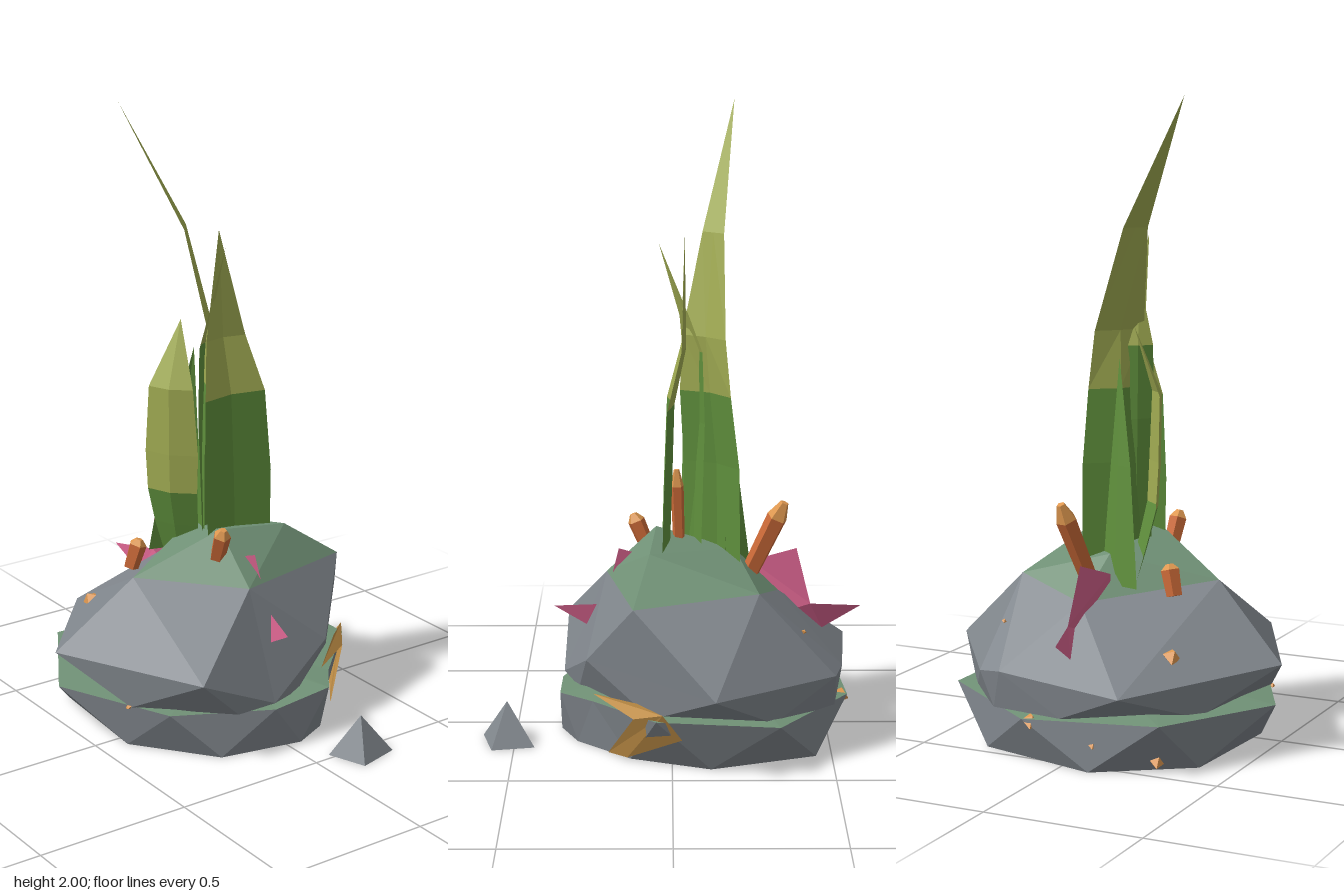
import * as THREE from 'three';

const mat = (name, color, side = THREE.FrontSide) => {
  const m = new THREE.MeshStandardMaterial({ color, side });
  m.name = name;
  return m;
};

export function createModel() {
  const group = new THREE.Group();
  const rock = mat('grey rock', 0x80868c);
  const moss = mat('moss green', 0x709176);
  const leaf = mat('leaf green', 0x5f8f3c, THREE.DoubleSide);
  const olive = mat('olive leaf', 0xa0ab52, THREE.DoubleSide);
  const pink = mat('pink', 0xd2608a, THREE.DoubleSide);
  const orange = mat('orange crystal', 0xcb6a38);
  const tipOrange = mat('pale orange tip', 0xdf9850);
  const ochre = mat('ochre', 0xbd8c45, THREE.DoubleSide);

  // Faceted mesh from a list of corner triples
  const facets = (name, material, tris) => {
    const g = new THREE.BufferGeometry();
    g.setAttribute('position', new THREE.Float32BufferAttribute(tris.flat(2), 3));
    g.computeVertexNormals();
    const mesh = new THREE.Mesh(g, material);
    mesh.name = name;
    group.add(mesh);
  };
  // Zigzag band between two rings; each lower point sits between two upper ones
  const band = (top, low) => top.flatMap((t, i) => {
    const n = (i + 1) % top.length;
    return [[t, low[i], top[n]], [low[i], low[n], top[n]]];
  });
  const flip = tris => tris.map(([a, b, c]) => [a, c, b]);
  // Copy of a ring shrunk about the boulder's axis at height y, and a ring of edge midpoints
  const shrink = (ring, k, y) => ring.map(([x, , z]) => [-.11 + k * (x + .11), y, k * z]);
  const mids = ring => ring.map((p, i) => p.map((v, k) => (v + ring[(i + 1) % ring.length][k]) / 2));

  // Upper boulder: widest ring, then the shoulder and summit corners
  const M = [[-.14, .285, .555], [.345, .285, .32], [.35, .16, .05], [.27, .285, -.21],
    [-.13, .27, -.56], [-.51, .26, -.29], [-.535, .27, -.21], [-.57, .24, .21]];
  const T0 = [-.06, .51, .31], T1 = [.21, .5, .05], T2 = [.12, .5, -.37];
  const T3 = [-.27, .52, -.27], T4 = [-.34, .46, -.03];
  const P = [.05, .65, .05], Q = [-.2, .59, 0], R = [.07, .625, -.19];
  facets('boulder', rock, [
    [M[1], M[2], T1], [M[2], M[3], T1], [M[3], T2, T1], [M[3], M[4], T2], [M[4], T3, T2],
    [M[4], M[5], T3], [M[5], M[6], T3], [M[6], T4, T3], [M[6], M[7], T4], [M[7], T0, T4],
    [M[7], M[0], T0], [M[0], M[1], T0], [M[1], T1, T0], ...band(M, shrink(mids(M), .97, .15))]);
  facets('mossCap', moss, [
    [T0, T1, P], [T1, R, P], [T1, T2, R], [T2, T3, R], [T3, Q, R], [T3, T4, Q],
    [T4, T0, Q], [T0, P, Q], [Q, P, R]]);

  // Base rock ring, mossy ledge and hollow underside
  const L = [[-.15, .16, .54], [.22, .15, .36], [.355, .14, .05], [.355, .16, -.16],
    [.25, .16, -.24], [.05, .17, -.455], [-.33, .16, -.475], [-.56, .14, -.12], [-.52, .16, .32]];
  const B = [[.05, 0, .41], [.3, 0, .22], [.355, 0, -.05], [.3, 0, -.17], [.13, 0, -.32],
    [-.12, 0, -.41], [-.45, 0, -.3], [-.55, 0, .1], [-.36, 0, .38]];
  const inner = shrink(L, .85, .13);
  const gap = shrink(mids(L), .3, .19);
  const roof = band(inner, gap);
  facets('baseRock', rock, band(L, B));
  facets('mossLedge', moss, flip(band(L, gap)));
  facets('hollowLining', ochre, flip(band(inner, B)));
  facets('hollowRoofMoss', moss, roof.filter((t, i) => i % 4 !== 0));
  facets('hollowRoofOchre', ochre, roof.filter((t, i) => i % 4 === 0));
  facets('hollowCore', rock, gap.map((p, i) => [p, [-.11, .27, 0], gap[(i + 1) % gap.length]]));

  // Small coloured roots hanging in the hollow core
  [leaf, orange, pink, leaf, olive, orange, leaf, pink].forEach((m, i) => {
    const root = new THREE.Mesh(new THREE.CylinderGeometry(.022, .01, .12, 4).toNonIndexed(), m);
    root.geometry.computeVertexNormals();
    root.name = 'root';
    root.position.set(-.11 + .075 * Math.cos(i * .785), .2, .075 * Math.sin(i * .785));
    group.add(root);
  });

  // Loose pebble: a crooked four-sided pyramid
  const pebble = [[.435, 0, -.225], [.48, 0, -.065], [.605, 0, -.11], [.57, 0, -.25]];
  facets('pebble', rock, pebble.map((p, i) => [p, pebble[(i + 1) % 4], [.525, .13, -.155]]));

  // Folded leaf blades; rows are [x, y, z, half width, fold]
  const blade = (name, rows, angle, fold, split) => {
    const c = Math.cos(angle), s = Math.sin(angle);
    const pts = rows.map(([x, y, z, w, f = fold]) => [
      [x - w * c, y, z - w * s], [x - w * f * s, y, z + w * f * c], [x + w * c, y, z + w * s]]);
    const strip = (from, to) => {
      const tris = [];
      for (let i = from; i < to; i++) for (let j = 0; j < 2; j++) {
        const a = pts[i], b = pts[i + 1];
        tris.push([a[j], a[j + 1], b[j + 1]]);
        if (rows[i + 1][3] > 0) tris.push([a[j], b[j + 1], b[j]]);
      }
      return tris;
    };
    facets(name + 'Lower', leaf, strip(0, split));
    if (split < rows.length - 1) facets(name + 'Upper', olive, strip(split, rows.length - 1));
  };
  blade('tallLeaf', [[-.13, .5, -.02, .11], [-.125, .87, -.02, .11],
    [-.105, 1.1, -.02, .1], [-.1, 1.28, -.015, .085, .1], [-.13, 1.6, .055, .042, 0],
    [-.2, 2, .25, 0]], .66, .25, 2);
  blade('broadLeaf', [[.03, .5, -.04, .115], [.03, .62, -.04, .122], [.025, .8, -.04, .128],
    [.015, 1.07, -.035, .115], [-.03, 1.25, -.03, .075], [-.04, 1.6, -.01, 0]], Math.PI / 2, .2, 3);
  blade('innerLeaf', [[-.06, .5, .02, .05], [-.07, 1, .03, .055], [-.065, 1.23, .03, .05],
    [-.04, 1.34, .02, .025], [.04, 1.57, .02, 0]], .9, .2, 2);
  blade('frontLeaf', [[-.16, .5, .06, .055], [-.145, .62, .085, .075], [-.13, .74, .11, .085],
    [-.125, .87, .115, .09], [-.12, 1.09, .12, .075], [-.15, 1.3, .06, 0]], -.6, .25, 2);
  blade('sideLeaf', [[-.215, .5, .04, .09], [-.185, .87, .03, .05], [-.15, 1.2, .01, 0]], -1.1, -.2, 2);

  // Pink pointed fins, mirrored about the boulder's middle
  for (const s of [-1, 1]) {
    const v = (d, y, z) => [-.115 + s * d, y, z];
    const a = v(.33, .41, -.02), b = v(.14, .54, .03), c = v(.1, .33, 0), d = v(.37, .32, .01);
    facets(s < 0 ? 'rightFin' : 'leftFin', pink, [
      [v(.495, .39, .025), a, d], [v(.285, .59, 0), b, a], [a, b, c], [a, c, d]]);
  }

  // Crystals with paler points
  const up = new THREE.Vector3(0, 1, 0);
  const crystal = (a, b, r) => {
    const from = new THREE.Vector3(...a), dir = new THREE.Vector3(...b).sub(from);
    const len = dir.length(), body = len * .82;
    const part = (name, g, y, m) => {
      const flat = g.toNonIndexed();
      flat.computeVertexNormals();
      const mesh = new THREE.Mesh(flat, m);
      mesh.name = name;
      mesh.position.y = y;
      return mesh;
    };
    const one = new THREE.Group();
    one.name = 'crystal';
    one.add(part('crystalBody', new THREE.CylinderGeometry(r, r * .85, body, 5), body / 2, orange),
      part('crystalTip', new THREE.CylinderGeometry(r * .4, r, len - body, 5), (len + body) / 2, tipOrange));
    one.position.copy(from);
    one.quaternion.setFromUnitVectors(up, dir.normalize());
    group.add(one);
  };
  crystal([-.23, .48, -.04], [-.355, .765, -.09], .034);
  crystal([-.205, .48, .225], [-.19, .575, .2], .03);
  crystal([.07, .55, .08], [.125, .68, .09], .029);
  crystal([-.025, .55, .01], [-.015, .85, 0], .022);

  // Ochre chips on the stone
  for (const [x, y, z, r] of [[-.355, .33, .285, .036], [-.49, .29, .025, .016], [-.41, .395, -.26, .01],
    [-.54, .13, -.1, .035], [-.54, .08, .11, .015], [.09, .15, .43, .012], [-.45, .03, .28, .03]]) {
    const g = new THREE.OctahedronGeometry(r);
    g.scale(1, .7, .8);
    g.computeVertexNormals();
    const chip = new THREE.Mesh(g, tipOrange);
    chip.name = 'chip';
    chip.position.set(x, y, z);
    chip.rotation.set(.4, .6, .3);
    group.add(chip);
  }

  // Ochre shard wrapping the back of the base
  facets('backShard', ochre, [
    [[.25, .175, -.21], [.12, .16, -.4], [.03, .195, -.465]],
    [[.25, .175, -.21], [.03, .195, -.465], [.11, .2, -.37]],
    [[.03, .195, -.465], [.12, .16, -.4], [.2, .01, -.29]],
    [[.03, .195, -.465], [.2, .01, -.29], [.14, .01, -.335]],
    [[.03, .195, -.465], [.14, .01, -.335], [-.03, .11, -.45]]]);
  return group;
}
